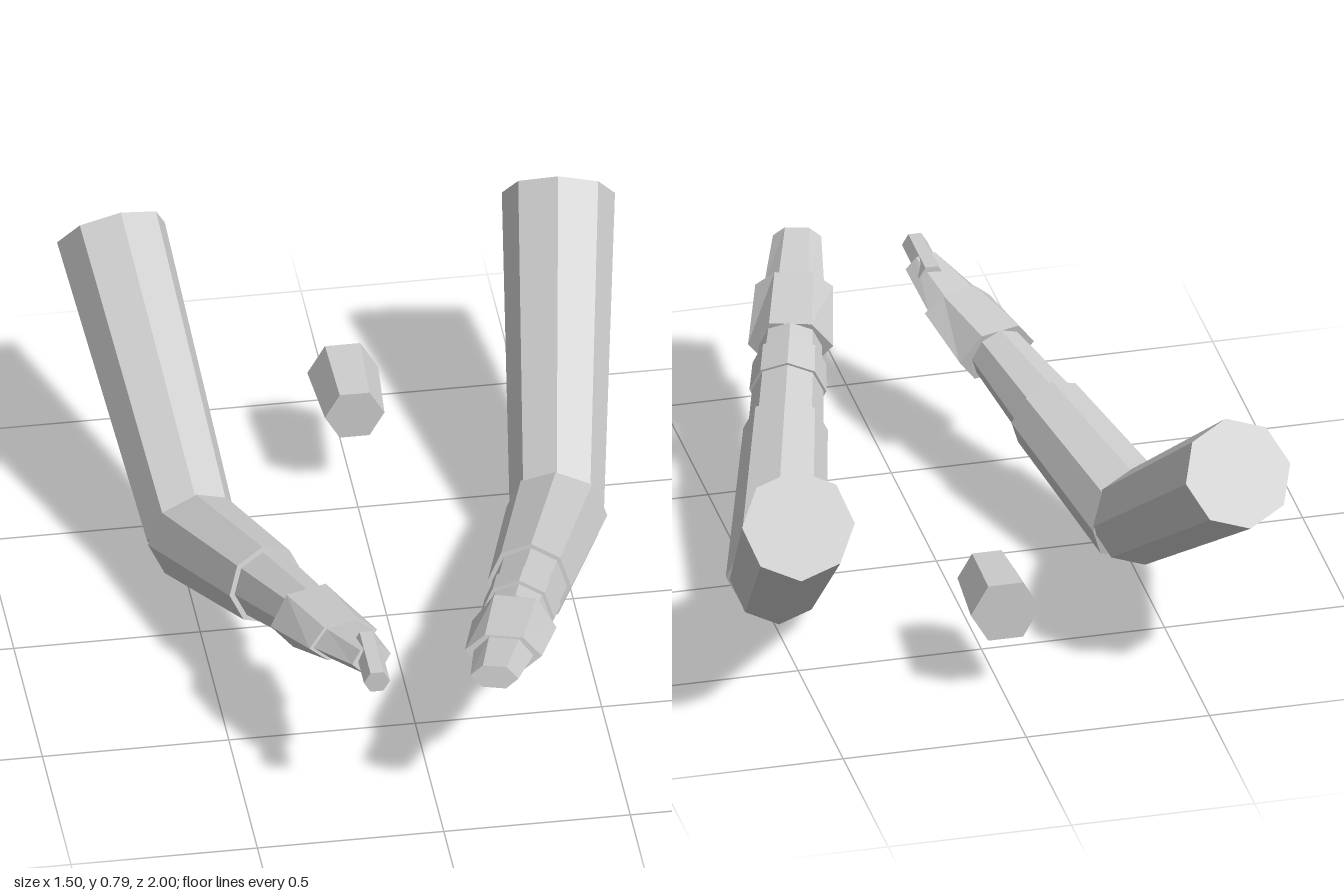
import * as THREE from 'three';

const UP = new THREE.Vector3(0, 1, 0);

// Faceted tapered bar between two points; [w, h] are the half sizes at each end.
function bar(name, material, sides, from, to, [w0, h0], [w1, h1]) {
  const a = new THREE.Vector3(...from), b = new THREE.Vector3(...to);
  let geo = new THREE.CylinderGeometry(1, 1, 1, sides);
  if (sides === 6) {
    // Hexagons lie flat: corners to the sides, flats above and below
    geo.rotateY(Math.PI / 2).scale(1, 1, 1 / Math.cos(Math.PI / 6));
  }
  geo.rotateX(Math.PI / 2);
  const p = geo.attributes.position;
  for (let i = 0; i < p.count; i++) {
    const t = p.getZ(i) + 0.5;
    p.setX(i, p.getX(i) * THREE.MathUtils.lerp(w0, w1, t));
    p.setY(i, p.getY(i) * THREE.MathUtils.lerp(h0, h1, t));
  }
  const z = b.clone().sub(a), length = z.length();
  z.normalize();
  const x = UP.clone().cross(z).normalize();
  const y = z.clone().cross(x);
  geo.scale(1, 1, length);
  geo.applyMatrix4(new THREE.Matrix4().makeBasis(x, y, z).setPosition(a.add(b).multiplyScalar(0.5)));
  geo = geo.toNonIndexed();
  geo.computeVertexNormals();
  const mesh = new THREE.Mesh(geo, material);
  mesh.name = name;
  return mesh;
}

export function createModel() {
  const model = new THREE.Group();
  model.name = 'arms';
  const grey = new THREE.MeshStandardMaterial({ color: 0xcccccc, flatShading: true });
  grey.name = 'light grey';

  // Each arm: elbow and tip set the axis, segments are placed by z along it
  const arms = [
    {
      name: 'leftArm', shoulder: [0.6, 0.68, -0.91], elbow: [0.49, 0.14, -0.22], tip: [0.138, 0.487, 0.985],
      parts: [
        ['forearm', 8, -0.22, 0.305, [0.135, 0.135], [0.112, 0.112]],
        ['lowerForearm', 8, 0.305, 0.44, [0.1, 0.1], [0.095, 0.095]],
        ['cuff', 8, 0.44, 0.535, [0.102, 0.102], [0.098, 0.098]],
        ['wrist', 8, 0.535, 0.6, [0.088, 0.088], [0.083, 0.083]],
        ['hand', 6, 0.6, 0.81, [0.113, 0.078], [0.103, 0.047]],
        ['fingers', 6, 0.81, 0.985, [0.08, 0.042], [0.064, 0.03]],
      ],
    },
    {
      name: 'rightArm', shoulder: [-0.6, 0.68, -0.91], elbow: [-0.49, 0.185, -0.21], tip: [-0.165, 0.455, 0.81],
      parts: [
        ['forearm', 8, -0.21, 0.215, [0.13, 0.13], [0.11, 0.11]],
        ['lowerForearm', 8, 0.215, 0.457, [0.095, 0.095], [0.077, 0.077]],
        ['hand', 6, 0.457, 0.65, [0.115, 0.075], [0.1, 0.047]],
        ['fingers', 6, 0.65, 0.81, [0.088, 0.042], [0.057, 0.033]],
      ],
    },
  ];

  for (const { name, shoulder, elbow, tip, parts } of arms) {
    const arm = new THREE.Group();
    arm.name = name;
    arm.add(bar('upperArm', grey, 8, elbow, shoulder, [0.125, 0.125], [0.15, 0.15]));
    const at = (z) => {
      const t = (z - elbow[2]) / (tip[2] - elbow[2]);
      return elbow.map((e, i) => e + (tip[i] - e) * t);
    };
    for (const [part, sides, z0, z1, s0, s1] of parts) {
      arm.add(bar(part, grey, sides, at(z0), at(z1), s0, s1));
    }
    model.add(arm);
  }

  // Small rod held at the right fingertips
  model.add(bar('rod', grey, 6, [-0.167, 0.458, 0.73], [-0.167, 0.458, 0.92], [0.035, 0.03], [0.035, 0.03]));

  // Neck block between the shoulders
  model.add(bar('neck', grey, 6, [0, 0.267, -0.77], [0, 0.267, -0.56], [0.095, 0.082], [0.08, 0.069]));

  return model;
}
